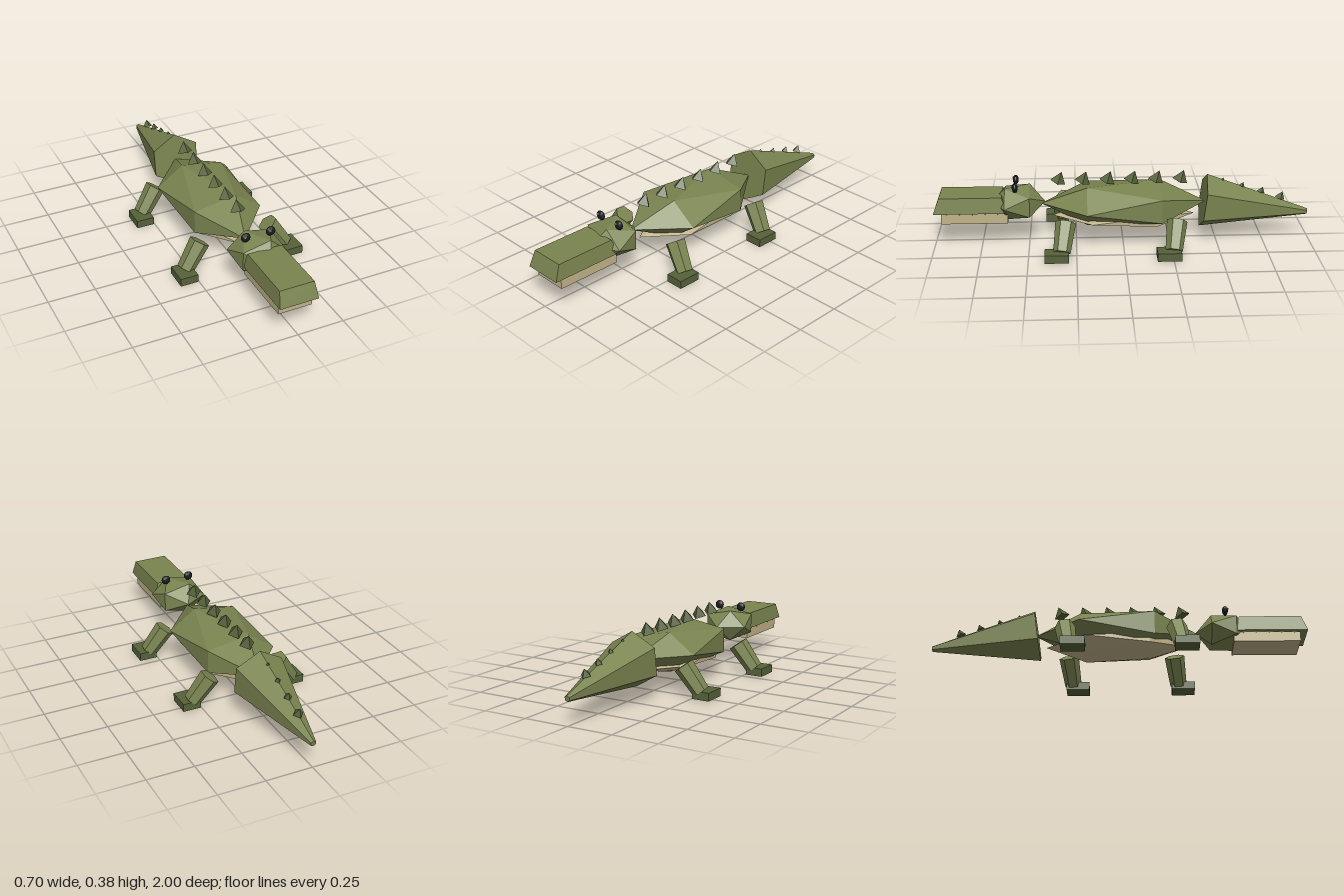
import * as THREE from 'three';

const mat = (name, color) => {
  const m = new THREE.MeshStandardMaterial({ color, flatShading: true });
  m.name = name;
  return m;
};

export function createModel() {
  const green = mat('olive green', 0x7a8450);
  const dark = mat('dark green', 0x56623a);
  const tan = mat('belly tan', 0xc2b48a);
  const black = mat('eye black', 0x1a1b20);

  const model = new THREE.Group();
  model.name = 'crocodile';
  const add = (name, geo, material, x = 0, y = 0, z = 0) => {
    const mesh = new THREE.Mesh(geo, material);
    mesh.name = name;
    mesh.position.set(x, y, z);
    model.add(mesh);
    return mesh;
  };

  // Stretched icosahedron with its poles on the z axis
  const gem = (rx, ry, rz) => new THREE.IcosahedronGeometry(1, 0)
    .rotateX(Math.atan(2 / (1 + Math.sqrt(5))))
    .rotateZ(Math.PI / 2)
    .scale(rx, ry, rz);

  // Torso and belly
  add('body', gem(0.235, 0.122, 0.44), green, 0, 0.203, -0.005);
  add('belly', gem(0.185, 0.052, 0.38), tan, 0, 0.135, -0.005);

  // Head, upper snout with sloping sides, and lower jaw
  add('head', gem(0.15, 0.1, 0.147), green, 0, 0.215, 0.56);
  const snout = new THREE.BoxGeometry(0.21, 0.084, 0.39);
  const p = snout.attributes.position;
  for (let i = 0; i < p.count; i++) {
    if (p.getY(i) > 0) p.setXYZ(i, p.getX(i) * 0.89, p.getY(i), p.getZ(i) * 0.84);
  }
  add('upperSnout', snout, green, 0, 0.227, 0.805);
  add('lowerJaw', new THREE.BoxGeometry(0.182, 0.054, 0.35), tan, 0, 0.153, 0.785);

  // Teeth along both edges of the mouth
  const tooth = new THREE.ConeGeometry(0.017, 0.04, 4).rotateX(Math.PI);
  for (const side of [-1, 1]) {
    for (let i = 0; i < 5; i++) add('tooth', tooth, tan, side * 0.08, 0.167, 0.93 - i * 0.067);
  }

  // Eyes with a small glint
  const eye = new THREE.IcosahedronGeometry(1, 1).scale(0.026, 0.026, 0.016);
  const glint = new THREE.IcosahedronGeometry(0.008, 0);
  for (const side of [-1, 1]) {
    add('eye', eye, black, side * 0.069, 0.315, 0.57);
    add('eyeGlint', glint, tan, side * 0.069 - 0.008, 0.323, 0.581);
  }

  // Six-sided tail, ridge up, sloping down to the tip
  const tail = new THREE.CylinderGeometry(0.016, 0.148, 0.57, 6).rotateX(-Math.PI / 2);
  add('tail', tail, green, 0, 0.17, -0.715).rotation.x = -0.13;

  // Back and tail spikes, leaning backwards
  const spike = (name, r, h, y, z) => {
    const geo = new THREE.ConeGeometry(r, h, 4).translate(0, h / 2, 0);
    add(name, geo, dark, 0, y, z).rotation.x = -0.36;
  };
  for (let i = 0; i < 6; i++) spike('backSpike', 0.042, 0.061, 0.32, 0.345 - i * 0.13);
  for (let i = 0; i < 4; i++) {
    const r = 0.01 + i * 0.006;
    spike('tailSpike', r, r * 1.4, 0.319 - i * 0.036, -0.535 - i * 0.104);
  }

  // Four splayed legs with block feet
  const up = new THREE.Vector3(0, 1, 0);
  for (const [label, z] of [['front', 0.305], ['rear', -0.276]]) {
    for (const side of [-1, 1]) {
      const top = new THREE.Vector3(side * 0.195, 0.165, z);
      const bottom = new THREE.Vector3(side * 0.286, 0.034, z + 0.022);
      const dir = top.clone().sub(bottom);
      const leg = add(label + 'Leg', new THREE.CylinderGeometry(0.054, 0.045, dir.length(), 6), green);
      leg.position.copy(top).add(bottom).multiplyScalar(0.5);
      leg.quaternion.setFromUnitVectors(up, dir.normalize());
      add(label + 'Foot', new THREE.BoxGeometry(0.097, 0.043, 0.125), dark, side * 0.302, 0.0215, z + 0.048);
    }
  }
  return model;
}
